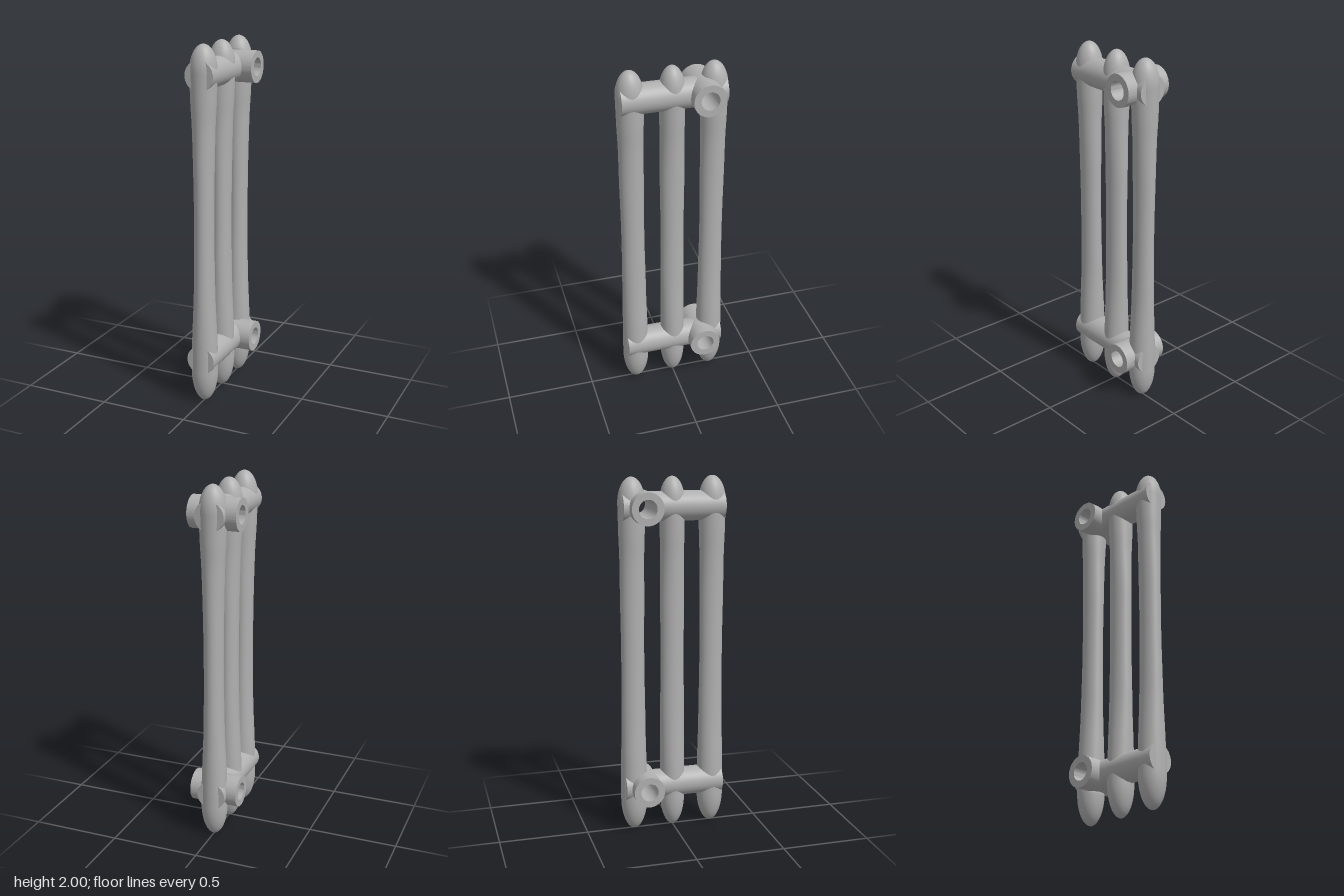
import * as THREE from 'three';
import { mergeVertices, toCreasedNormals } from 'three/addons/utils/BufferGeometryUtils.js';

const HUB_Z = -0.166, HUB_R = 0.088, BORE_R = 0.05, HUB_HALF = 0.137;
const BAR_R = 0.081, BAR_END = 0.283;
const LEVELS = { lower: 0.258, upper: 1.84 };
const CAP_LOW = 0.18, CAP_HIGH = 1.86, WIDE = 0.074;

// Move every vertex of a geometry by a rule
function reshape(geo, rule) {
  const p = geo.attributes.position, v = new THREE.Vector3();
  for (let i = 0; i < p.count; i++) {
    rule(v.fromBufferAttribute(p, i));
    p.setXYZ(i, v.x, v.y, v.z);
  }
  return geo;
}

// Column outline: rounded bottom, slim waist, rounded top
function columnProfile() {
  const pts = [];
  for (let i = 0; i < 14; i++) {
    const a = (i / 14) * Math.PI / 2;
    pts.push(new THREE.Vector2(WIDE * Math.sin(a), CAP_LOW * (1 - Math.cos(a))));
  }
  const waist = new THREE.SplineCurve([
    [WIDE, CAP_LOW], [0.073, 0.28], [0.068, 0.41], [0.058, 0.62], [0.0535, 0.85], [0.0525, 1.05],
    [0.0545, 1.3], [0.061, 1.55], [0.069, 1.7], [WIDE, CAP_HIGH],
  ].map(([r, y]) => new THREE.Vector2(r, y)));
  pts.push(...waist.getSpacedPoints(160));
  for (let i = 1; i <= 14; i++) {
    const a = (i / 14) * Math.PI / 2;
    pts.push(new THREE.Vector2(i === 14 ? 0 : WIDE * Math.cos(a),
      CAP_HIGH + (2 - CAP_HIGH) * Math.sin(a)));
  }
  return pts;
}

// Column whose depth tapers less than its width; the rear one is hollowed around the bores
function columnGeometry(z, depth, waistDepth) {
  const hollow = 0.07;
  const geo = new THREE.LatheGeometry(columnProfile(), 40);
  reshape(geo, (v) => {
    const t = THREE.MathUtils.clamp(Math.min((v.y - CAP_LOW) / 0.6, (CAP_HIGH - v.y) / 0.6), 0, 1);
    const width = THREE.MathUtils.lerp(WIDE, 0.053, THREE.MathUtils.smoothstep(t, 0, 1));
    const deep = THREE.MathUtils.lerp(depth, waistDepth, THREE.MathUtils.smoothstep(t, 0, 1));
    v.z = v.z * deep / width + z;
    if (z < 0) {
      for (const y of Object.values(LEVELS)) {
        const dy = Math.abs(v.y - y);
        if (dy < hollow) v.z = Math.min(v.z, HUB_Z - Math.sqrt(hollow ** 2 - dy ** 2));
      }
    }
  });
  geo.deleteAttribute('uv');
  geo.deleteAttribute('normal');
  const merged = mergeVertices(geo, 1e-5);
  merged.computeVertexNormals();
  return merged;
}

// Cross bar from the outer end (side +1 front, -1 back), its inner end saddled onto the hub
function barGeometry(side) {
  const geo = new THREE.CylinderGeometry(BAR_R, BAR_R, 1, 48).rotateX(Math.PI / 2);
  return reshape(geo, (v) => {
    v.z = v.z * side > 0
      ? side * BAR_END
      : HUB_Z + side * Math.sqrt((HUB_R - 0.002) ** 2 - v.y ** 2);
  });
}

// Pipe connector with an open bore along x
function hubGeometry() {
  const ring = new THREE.Shape().absarc(0, 0, HUB_R, 0, Math.PI * 2);
  ring.holes.push(new THREE.Path().absarc(0, 0, BORE_R, 0, Math.PI * 2, true));
  const geo = new THREE.ExtrudeGeometry(ring, {
    depth: HUB_HALF * 2, bevelEnabled: false, curveSegments: 48,
  });
  geo.translate(0, 0, -HUB_HALF).rotateY(Math.PI / 2).translate(0, 0, HUB_Z);
  return toCreasedNormals(geo, 0.6);
}

export function createModel() {
  const model = new THREE.Group();
  model.name = 'radiatorSection';
  const castIron = new THREE.MeshStandardMaterial({ color: 0xb0b0b0 });
  castIron.name = 'castIronGrey';

  const add = (name, geo, y = 0) => {
    const mesh = new THREE.Mesh(geo, castIron);
    mesh.name = name;
    mesh.position.y = y;
    model.add(mesh);
  };

  // Three upright columns
  add('frontColumn', columnGeometry(0.2255, 0.0745, 0.065));
  add('middleColumn', columnGeometry(0, 0.069, 0.066));
  add('rearColumn', columnGeometry(-0.2255, 0.0745, 0.065));

  // Cross bars and pipe connectors at both levels
  for (const [level, y] of Object.entries(LEVELS)) {
    add(level + 'FrontBar', barGeometry(1), y);
    add(level + 'RearBar', barGeometry(-1), y);
    add(level + 'Connector', hubGeometry(), y);
  }
  return model;
}
